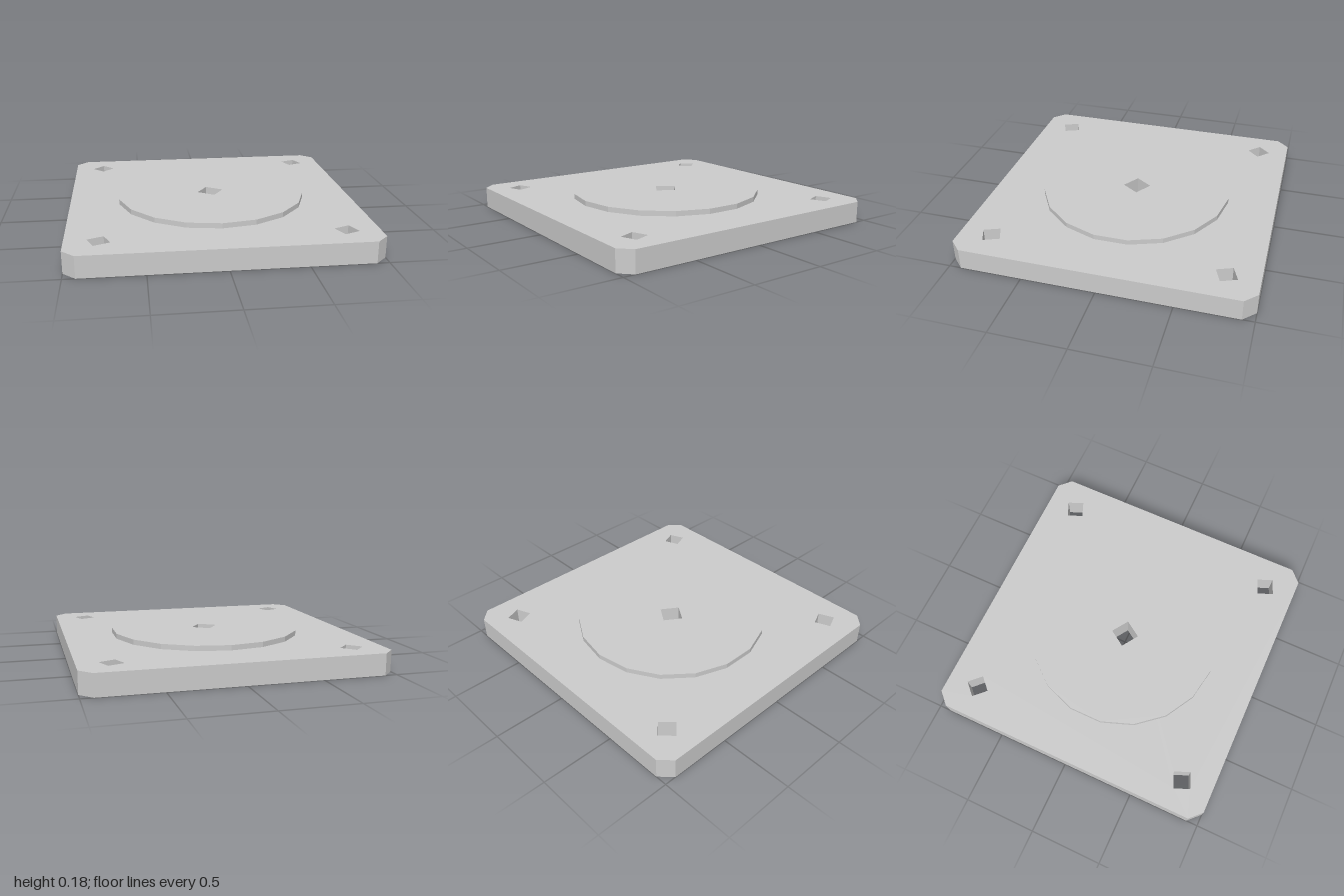
import * as THREE from 'three';

const PLATE_HEIGHT = 0.145;
const BOSS_HEIGHT = 0.035;

// Points of a regular polygon in the plan (plan y points to the back)
function polygon(cx, cy, radius, sides, turn = 0) {
  return Array.from({ length: sides }, (_, i) => {
    const a = turn + (i / sides) * Math.PI * 2;
    return new THREE.Vector2(cx + radius * Math.cos(a), cy + radius * Math.sin(a));
  });
}

// Extrude a plan outline with holes upward from height y
function slab(name, outline, holes, y, height, material) {
  const shape = new THREE.Shape(outline);
  holes.forEach((points) => shape.holes.push(new THREE.Path(points)));
  const geometry = new THREE.ExtrudeGeometry(shape, { depth: height, bevelEnabled: false });
  geometry.rotateX(-Math.PI / 2);
  const mesh = new THREE.Mesh(geometry, material);
  mesh.name = name;
  mesh.position.y = y;
  return mesh;
}

export function createModel() {
  const group = new THREE.Group();
  group.name = 'mountingPlate';
  const material = new THREE.MeshStandardMaterial({ color: 0xcccccc, flatShading: true });

  // Square outline with clipped corners
  const c = 0.92;
  const outline = [[c, -1], [1, -c], [1, c], [c, 1], [-c, 1], [-1, c], [-1, -c], [-c, -1]]
    .map(([x, y]) => new THREE.Vector2(x, y));

  // Four-sided bolt holes near the corners, and the centre bore
  const boltHoles = [[-1, 1, 0], [1, 1, -0.4], [-1, -1, -0.4], [1, -1, -0.4]]
    .map(([sx, sy, turn]) => polygon(sx * 0.785, sy * 0.785, 0.08, 4, turn));
  const bore = polygon(0, 0, 0.095, 4, 0.2);

  // Base plate
  group.add(slab('basePlate', outline, [...boltHoles, bore], 0, PLATE_HEIGHT, material));

  // Raised round boss, sharing the centre bore
  const disc = polygon(0, 0, 0.667, 18, Math.PI / 2);
  group.add(slab('raisedBoss', disc, [bore], PLATE_HEIGHT, BOSS_HEIGHT, material));

  return group;
}
